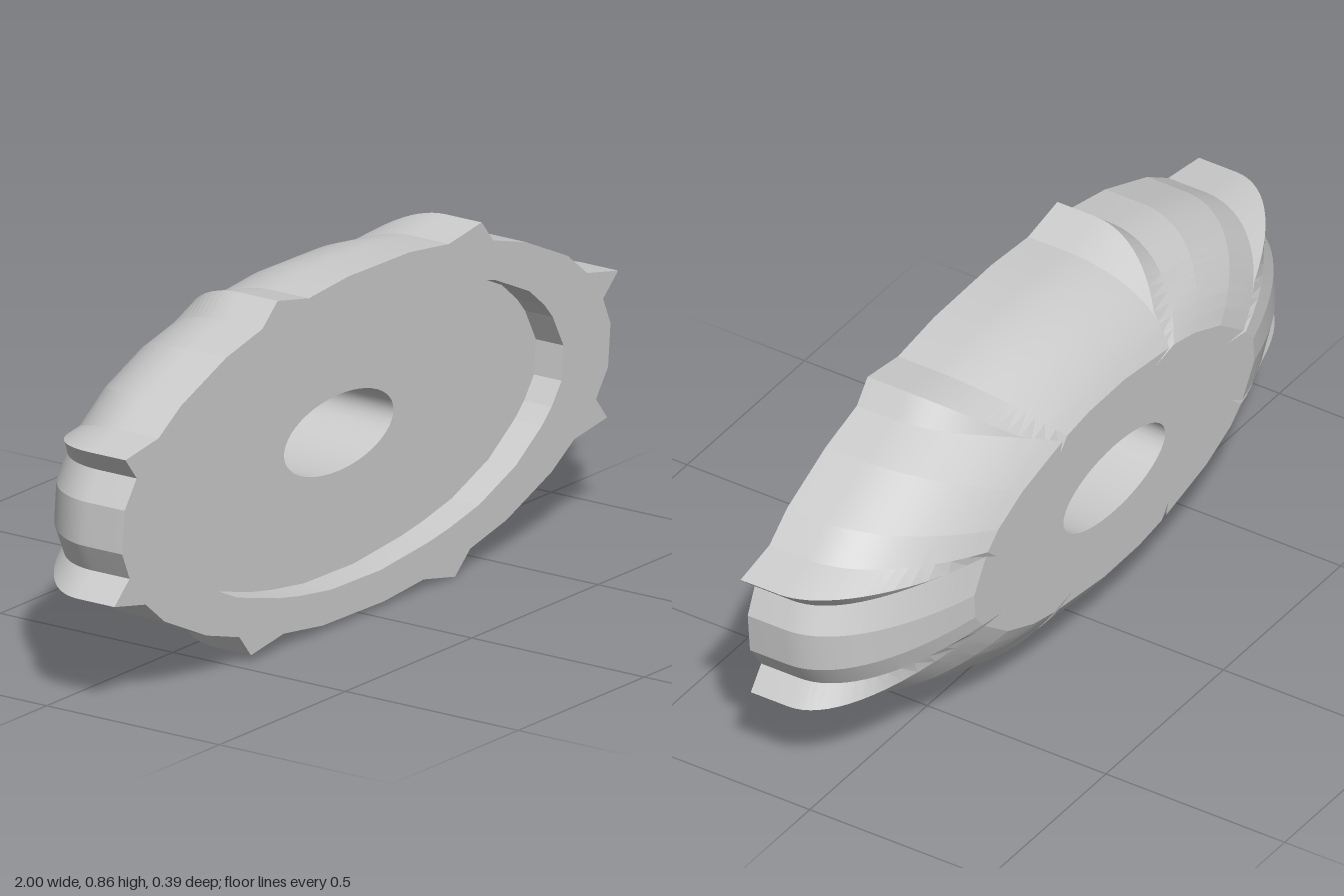
import * as THREE from 'three';
import { toCreasedNormals } from 'three/addons/utils/BufferGeometryUtils.js';

const TEETH = 8, SQUASH = 0.432, CENTRE_Y = 0.432;
const FRONT = 0.195, BACK = -0.195, FLOOR = 0.115, BEND = 0.09;
const HOLE = 0.217, MERGE = 0.225;

// one tooth: angle in degrees and radius, from the tip to the notch before the next tip
const TOOTH = [[19.4, 1.058], [25.2, 0.967], [34.8, 0.973], [49.2, 0.97], [58.6, 0.965]];

// toothed outline pulled inward by d; tip and notch meet at MERGE, then the tip sinks into a groove
function outline(d) {
  const k = d / MERGE;
  const points = [];
  for (let i = 0; i < TEETH; i++) {
    TOOTH.forEach(([deg, r], j) => {
      if (j === 0) r -= 0.093 * k;
      if (j === 4) deg += 5.8 * k;
      const a = THREE.MathUtils.degToRad(deg + i * 360 / TEETH);
      points.push(new THREE.Vector2(Math.cos(a) * (r - d), Math.sin(a) * (r - d)));
    });
  }
  return points;
}

function circle(r, n = 48) {
  return Array.from({ length: n }, (_, i) => {
    const a = i / n * Math.PI * 2;
    return new THREE.Vector2(Math.cos(a) * r, Math.sin(a) * r);
  });
}

// skin through rings of { points, z }; faces outward when z falls, inward when it rises
function loft(rings, crease) {
  const n = rings[0].points.length, pos = [], index = [];
  rings.forEach(({ points, z }) => points.forEach(p => pos.push(p.x, p.y * SQUASH, z)));
  for (let i = 0; i < rings.length - 1; i++) {
    for (let j = 0; j < n; j++) {
      const a = i * n + j, b = i * n + (j + 1) % n;
      index.push(a, a + n, b, b, a + n, b + n);
    }
  }
  const geometry = new THREE.BufferGeometry();
  geometry.setAttribute('position', new THREE.Float32BufferAttribute(pos, 3));
  geometry.setIndex(index);
  return toCreasedNormals(geometry, crease);
}

// flat face with an opening
function plate(outer, inner, z, facesBack) {
  const shape = new THREE.Shape(outer);
  shape.holes.push(new THREE.Path(inner));
  const geometry = new THREE.ShapeGeometry(shape);
  geometry.scale(1, SQUASH, 1);
  geometry.translate(0, 0, z);
  if (facesBack) {
    geometry.index.array.reverse();
    geometry.computeVertexNormals();
  }
  return geometry;
}

export function createModel() {
  const group = new THREE.Group();
  group.name = 'toothedDisc';
  const material = new THREE.MeshStandardMaterial({ color: 0xcccccc });
  const add = (name, geometry) => {
    const mesh = new THREE.Mesh(geometry, material);
    mesh.name = name;
    group.add(mesh);
  };

  // outer wall: straight at the front, then rounding in toward the back
  const rings = [{ points: outline(0), z: FRONT }];
  const steps = 16;
  for (let i = 0; i <= steps; i++) {
    const u = (BEND - BACK) * i / steps;
    const drop = 0.75 * (1 - Math.sqrt(1 - (u / 0.33) ** 2));
    rings.push({ points: outline(drop), z: BEND - u });
  }
  add('toothedRim', loft(rings, 0.13));

  // shallow recess in the front, without tooth tips
  const recess = outline(0.187).filter((_, i) => i % TOOTH.length !== 0);
  add('frontRim', plate(outline(0), recess, FRONT, false));
  add('recessWall', loft([{ points: recess, z: FLOOR }, { points: recess, z: FRONT }], 0.13));
  add('recessFloor', plate(recess, circle(HOLE), FLOOR, false));

  // back face and centre hole
  add('backFace', plate(rings[rings.length - 1].points, circle(HOLE), BACK, true));
  add('centreHole', loft([{ points: circle(HOLE), z: BACK }, { points: circle(HOLE), z: FLOOR }], 0.6));

  group.position.y = CENTRE_Y;
  return group;
}
